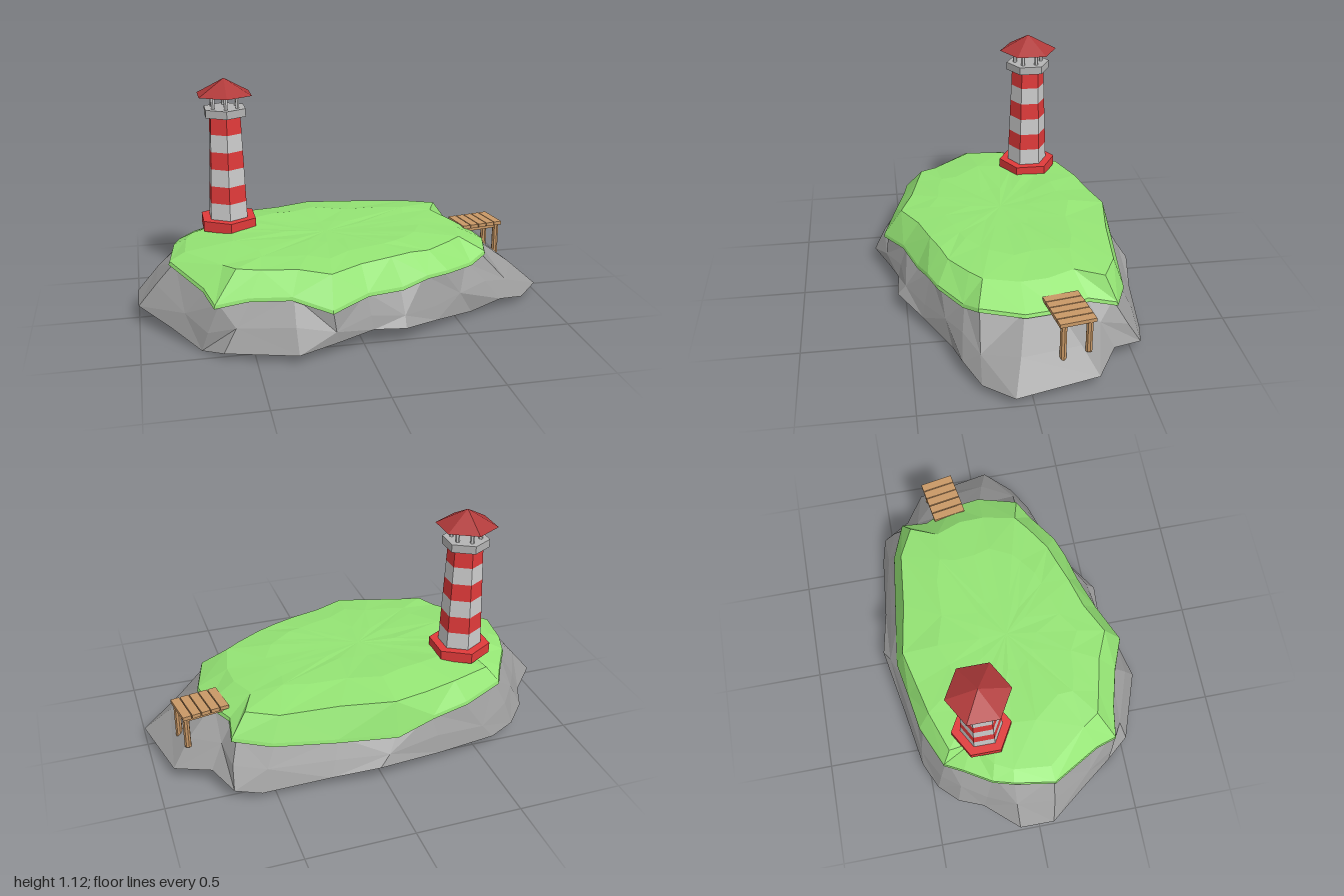
import * as THREE from 'three';

const mat = (color) => new THREE.MeshStandardMaterial({ color, flatShading: true });
const rockMat = mat(0x9c9c9c), grassMat = mat(0x94e474), whiteMat = mat(0xcccccc), galleryMat = mat(0xb4b4b4);
const redMat = mat(0xe03a3a), roofMat = mat(0xb03a3a), woodMat = mat(0xc89866);

// Repeatable noise in -1..1
const noise = (i, k) => {
  const s = Math.sin(i * 127.1 + k * 311.7) * 43758.5453;
  return 2 * (s - Math.floor(s)) - 1;
};

// Matching outlines (x, y, z): foot of the rock and rim of the grass
const toRing = (points) => points.map((p) => new THREE.Vector3(...p));
const foot = toRing([
  [1, .04, .08], [.88, .03, .21], [.74, .06, .28], [.58, .02, .31], [.37, .05, .43], [.19, .075, .54],
  [.04, .08, .53], [-.13, .055, .575], [-.32, .04, .64], [-.64, .03, .53], [-.73, 0, .42], [-.86, .05, .25],
  [-1, .09, .07], [-1, .1, -.1], [-.86, .1, -.26], [-.81, .09, -.38], [-.72, .06, -.47], [-.59, .05, -.53],
  [-.3, .06, -.58], [.03, .09, -.64], [.25, .06, -.6], [.57, .03, -.57], [.69, .05, -.54], [.76, .08, -.4],
  [.92, .055, -.3],
]);
const rim = toRing([
  [.74, .26, 0], [.68, .27, .2], [.59, .24, .26], [.44, .25, .36], [.33, .25, .4], [.2, .22, .44],
  [.02, .23, .5], [-.16, .2, .59], [-.33, .25, .52], [-.52, .24, .47], [-.67, .21, .45], [-.71, .25, .34],
  [-.85, .3, .1], [-.82, .31, -.1], [-.79, .3, -.2], [-.71, .29, -.33], [-.66, .27, -.42], [-.45, .25, -.51],
  [-.27, .23, -.54], [-.08, .19, -.575], [.2, .2, -.54], [.5, .22, -.5], [.67, .24, -.43], [.65, .26, -.3],
  [.72, .26, -.15],
]);

// Scale a ring towards the island's middle; scale and height may vary by point
const shrink = (ring, scale, height) => ring.map((p, i) => {
  const k = scale(p, i);
  return new THREE.Vector3(-.08 + (p.x + .08) * k, height(p, i), p.z * k);
});
const rough = (s, jitter) => (p, i) => s * (1 + jitter * noise(i, s * 10));
const tip = (y) => foot.map(() => new THREE.Vector3(-.08, y, 0));

// Faceted skin over a stack of rings, listed from underneath to top
function loft(rings) {
  const pos = [];
  const tri = (a, b, c) => {
    if (a.equals(b) || b.equals(c) || a.equals(c)) return;
    pos.push(...a.toArray(), ...b.toArray(), ...c.toArray());
  };
  for (let r = 0; r < rings.length - 1; r++) {
    const a = rings[r], b = rings[r + 1], n = a.length;
    for (let i = 0; i < n; i++) {
      const j = (i + 1) % n;
      if ((i + r) % 2) { tri(a[i], b[i], a[j]); tri(a[j], b[i], b[j]); }
      else { tri(a[i], b[j], a[j]); tri(a[i], b[i], b[j]); }
    }
  }
  const g = new THREE.BufferGeometry();
  g.setAttribute('position', new THREE.Float32BufferAttribute(pos, 3));
  g.computeVertexNormals();
  return g;
}

function add(parent, name, geometry, material, x = 0, y = 0, z = 0) {
  const mesh = new THREE.Mesh(geometry, material);
  mesh.name = name;
  mesh.position.set(x, y, z);
  parent.add(mesh);
}

function makeIsland() {
  const g = new THREE.Group();
  g.name = 'island';
  // Rock: flat underside, craggy flank, top hidden under the grass
  const flank = foot.map((p, i) => {
    const v = p.clone().lerp(rim[i], .48 + .1 * noise(i, 3));
    v.y += .015 * noise(i, 5);
    return v;
  });
  add(g, 'rock', loft([
    tip(.06),
    shrink(foot, rough(.55, .06), (p, i) => .058 + .008 * noise(i, 1)),
    foot,
    flank,
    shrink(rim, () => .96, (p) => p.y + .012),
    tip(.27),
  ]), rockMat);
  // Grass: thin lip, shoulder steeper at the back and left, gently uneven plateau
  const shoulder = (p, i) => (p.z < -.4 || p.x < -.75 ? .9 : .83) + .02 * noise(i, 2);
  add(g, 'grass', loft([
    shrink(rim, () => .9, (p) => p.y + .015),
    rim,
    shrink(rim, () => .993, (p) => p.y + .017),
    shrink(rim, shoulder, (p, i) => .356 + .007 * noise(i, 7)),
    shrink(rim, rough(.58, .06), (p, i) => .379 - .01 * p.z + .005 * noise(i, 8)),
    shrink(rim, rough(.25, .08), (p, i) => .377 + .003 * noise(i, 9)),
    tip(.376),
  ]), grassMat);
  return g;
}

function makeLighthouse() {
  const g = new THREE.Group();
  g.name = 'lighthouse';
  g.position.set(-.535, 0, -.208);
  const hex = (name, top, bottom, y0, y1, material) =>
    add(g, name, new THREE.CylinderGeometry(top, bottom, y1 - y0, 6), material, 0, (y0 + y1) / 2, 0);

  hex('base', .148, .148, .37, .422, redMat);
  // Striped tapering tower
  const bands = 6, y0 = .42, h = .516 / bands;
  const radius = (i) => .104 - .021 * i / bands;
  for (let i = 0; i < bands; i++)
    hex('towerBand', radius(i + 1), radius(i), y0 + i * h, y0 + (i + 1) * h, i % 2 ? redMat : whiteMat);
  hex('gallery', .111, .111, .935, .974, galleryMat);
  // Open lantern room
  for (let i = 0; i < 6; i++) {
    const a = i * Math.PI / 3;
    add(g, 'lanternPost', new THREE.CylinderGeometry(.01, .01, .07, 6), whiteMat,
      .068 * Math.sin(a), 1.007, .068 * Math.cos(a));
  }
  hex('roof', 0, .146, 1.038, 1.117, roofMat);
  return g;
}

function makeDock() {
  const g = new THREE.Group();
  g.name = 'dock';
  g.position.set(.76, 0, -.187);
  g.rotation.y = .17;
  for (let i = 0; i < 5; i++)
    add(g, 'plank', new THREE.BoxGeometry(.041, .018, .168), woodMat, (i - 2) * .0455, .307, 0);
  for (const side of [-1, 1]) {
    add(g, 'beam', new THREE.BoxGeometry(.21, .018, .018), woodMat, 0, .289, side * .06);
    const y = side > 0 ? .105 : .14;
    add(g, 'post', new THREE.CylinderGeometry(.016, .016, .298 - y, 8), woodMat,
      .092, (.298 + y) / 2, side * .06);
  }
  return g;
}

export function createModel() {
  const model = new THREE.Group();
  model.name = 'lighthouseIsland';
  model.add(makeIsland(), makeLighthouse(), makeDock());
  return model;
}
